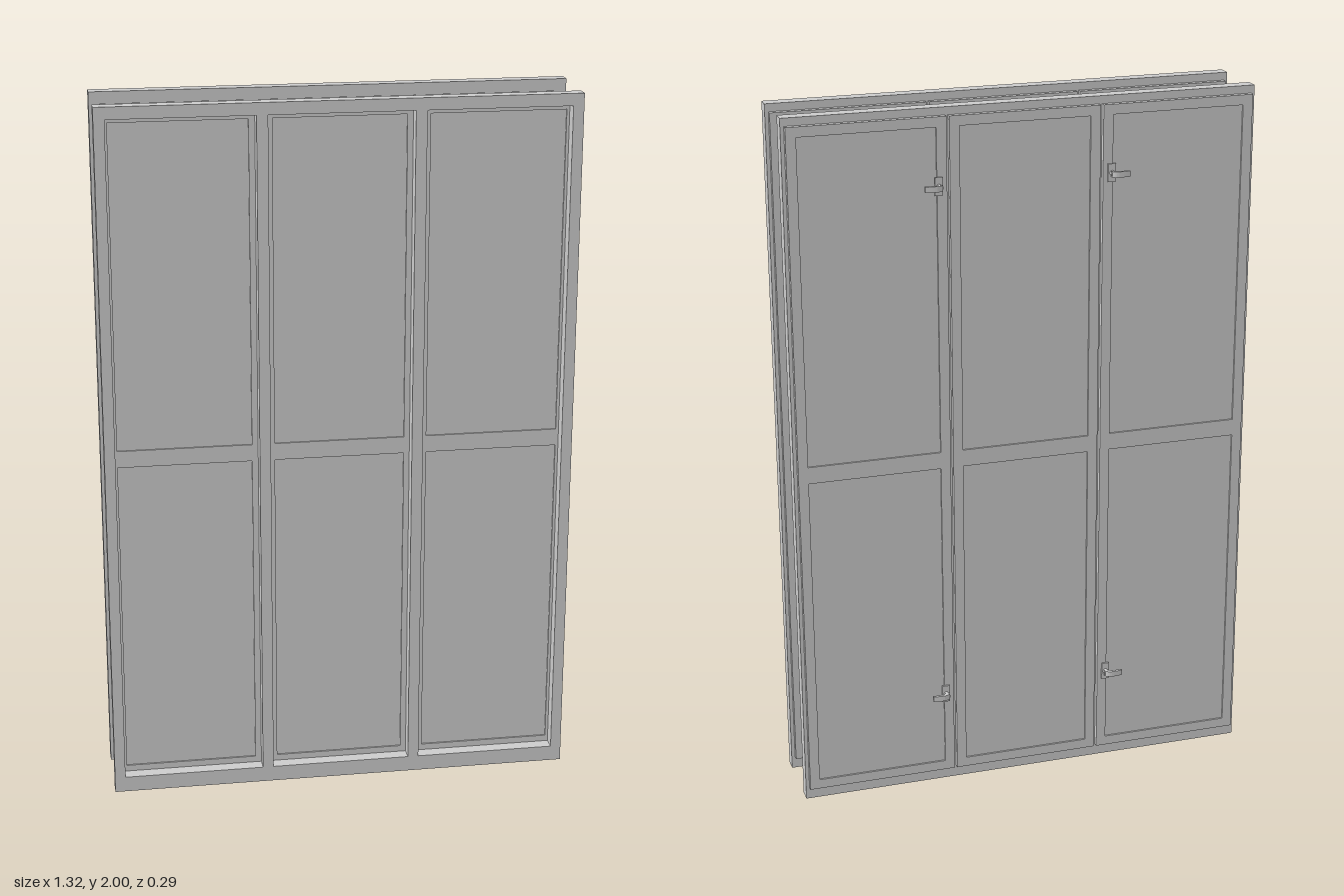
import * as THREE from 'three';

const material = new THREE.MeshStandardMaterial({ color: 0xcccccc, flatShading: true });
const FRAME_DEPTH = 0.038;
const SASH_DEPTH = 0.0145;
const HEIGHT = 1.994;

function mesh(name, geometry) {
  const m = new THREE.Mesh(geometry, material);
  m.name = name;
  return m;
}

function rectangle(PathType, x0, x1, y0, y1) {
  const p = new PathType();
  p.moveTo(x0, y0);
  p.lineTo(x1, y0);
  p.lineTo(x1, y1);
  p.lineTo(x0, y1);
  p.closePath();
  return p;
}

// Flat slab with rectangular openings, from z = back to z = back + depth
function slab(name, outer, holes, back, depth) {
  const shape = rectangle(THREE.Shape, ...outer);
  for (const h of holes) shape.holes.push(rectangle(THREE.Path, ...h));
  const g = new THREE.ExtrudeGeometry(shape, { depth, bevelEnabled: false });
  g.translate(0, 0, back);
  return mesh(name, g);
}

// Opening frame with two lights divided by a middle rail
function createSash(x0, x1) {
  const g = new THREE.Group();
  g.name = 'sash';
  const y0 = 0.035, y1 = 1.972, b = 0.028, mid = 1.004, half = 0.024;
  const back = -FRAME_DEPTH - SASH_DEPTH;
  const lights = [
    [x0 + b, x1 - b, y0 + b, mid - half],
    [x0 + b, x1 - b, mid + half, y1 - b],
  ];
  g.add(slab('sashFrame', [x0, x1, y0, y1], lights, back, SASH_DEPTH));
  for (const light of lights) g.add(slab('glassPane', light, [], back + 0.005, 0.005));
  return g;
}

// Latch handle: plate, neck and a lever curving outward
function createHandle(side, y) {
  const g = new THREE.Group();
  g.name = 'handle';
  const plate = mesh('handlePlate', new THREE.BoxGeometry(0.022, 0.05, 0.005));
  plate.position.set(side * 0.243, 0, -0.0025);
  const neck = mesh('handleNeck', new THREE.CylinderGeometry(0.007, 0.008, 0.02, 12));
  neck.rotation.x = Math.PI / 2;
  neck.position.set(side * 0.243, 0, -0.013);

  const s = new THREE.Shape();
  s.moveTo(side * 0.235, 0.018);
  s.lineTo(side * 0.25, 0.018);
  s.quadraticCurveTo(side * 0.253, 0.024, side * 0.26, 0.024);
  s.lineTo(side * 0.287, 0.023);
  s.lineTo(side * 0.287, 0.029);
  s.quadraticCurveTo(side * 0.272, 0.032, side * 0.254, 0.032);
  s.quadraticCurveTo(side * 0.239, 0.031, side * 0.235, 0.018);
  const leverGeometry = new THREE.ExtrudeGeometry(s, { depth: 0.016, bevelEnabled: false, curveSegments: 5 });
  leverGeometry.rotateX(-Math.PI / 2);
  leverGeometry.translate(0, -0.008, 0);
  g.add(plate, neck, mesh('handleLever', leverGeometry));
  g.position.set(0, y, -FRAME_DEPTH - SASH_DEPTH);
  return g;
}

// Three-bay window with its front face on z = 0
function createWindow() {
  const g = new THREE.Group();
  const openings = [[-0.63, -0.23], [-0.199, 0.199], [0.23, 0.63]]
    .map(([a, b]) => [a, b, 0.045, 1.96]);
  g.add(slab('outerFrame', [-0.66, 0.66, 0, HEIGHT], openings, -FRAME_DEPTH, FRAME_DEPTH));
  for (const [a, b] of [[-0.65, -0.219], [-0.211, 0.211], [0.219, 0.65]]) g.add(createSash(a, b));
  for (const side of [-1, 1])
    for (const y of [0.283, 1.785]) g.add(createHandle(side, y));
  return g;
}

export function createModel() {
  const model = new THREE.Group();
  model.name = 'doubleWindow';
  // Two identical units, one behind the other, leaning slightly forward
  for (const [name, y, z] of [['frontWindow', 0.0004, 0.133], ['backWindow', 0.006, -0.064]]) {
    const unit = createWindow();
    unit.name = name;
    unit.position.set(0, y, z);
    unit.rotation.x = 0.0073;
    model.add(unit);
  }
  return model;
}
